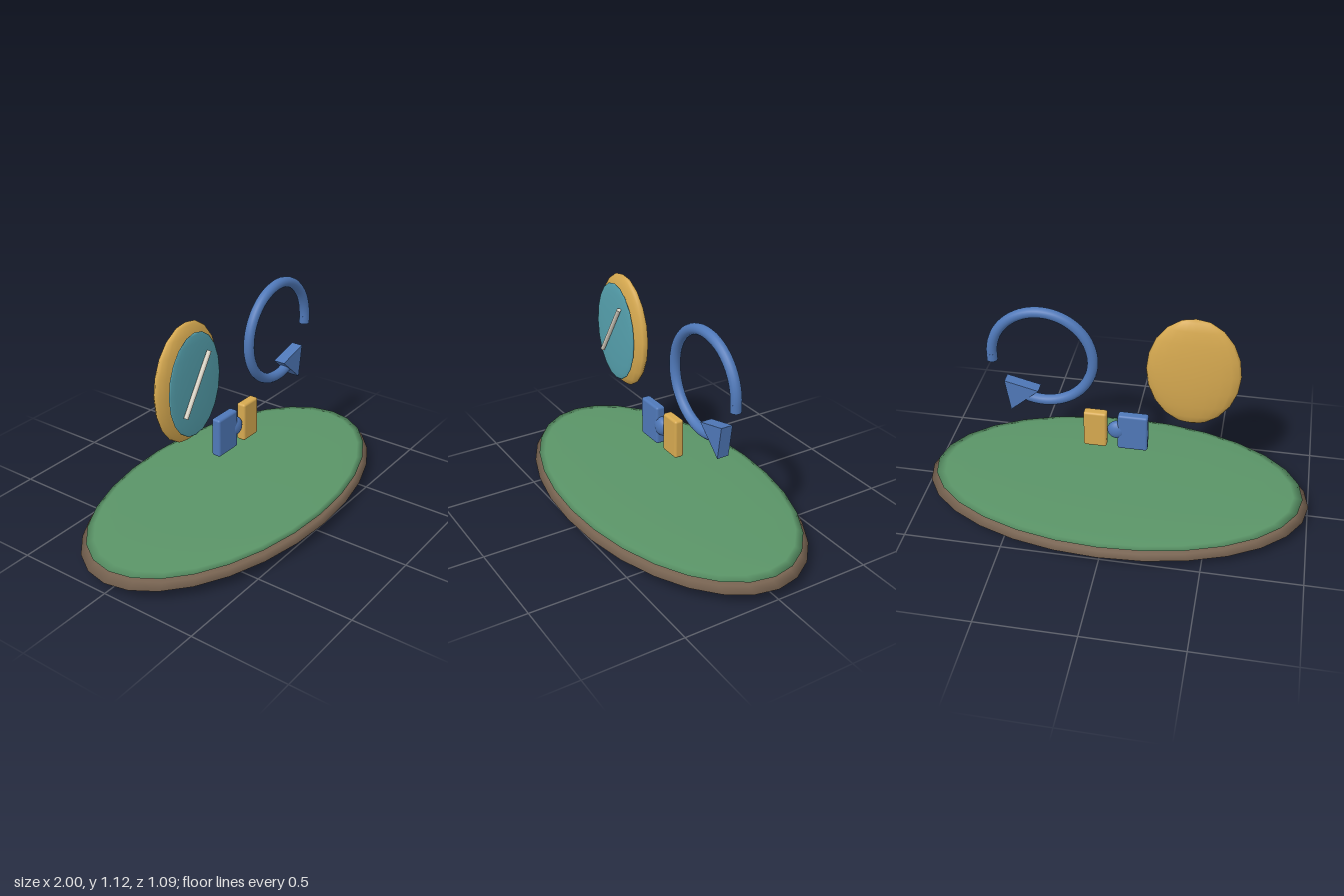
import * as THREE from 'three';
import { RoundedBoxGeometry } from 'three/addons/geometries/RoundedBoxGeometry.js';

const mat = (color) => new THREE.MeshStandardMaterial({ color });
const brown = mat(0x766250), green = mat(0x5a9467), gold = mat(0xd6a950);
const blue = mat(0x4f78b8), teal = mat(0x55a0ad), ivory = mat(0xd8d2c4);

export function createModel() {
  const model = new THREE.Group();
  const add = (name, geometry, material, x, y, z = 0, parent = model) => {
    const mesh = new THREE.Mesh(geometry, material);
    mesh.name = name;
    mesh.position.set(x, y, z);
    parent.add(mesh);
    return mesh;
  };
  const ellipsoid = (rx, ry, rz, around = 20, rings = 10) =>
    new THREE.SphereGeometry(1, around, rings).scale(rx, ry, rz);

  // Island: flattened earth with a thin grass layer on top
  add('islandBase', ellipsoid(1, 0.057, 0.547, 28, 10), brown, 0, 0.057);
  add('grassTop', ellipsoid(0.967, 0.018, 0.525, 28, 10), green, 0, 0.104);

  // Dial: gold body, teal face, slanted needle
  const dial = new THREE.Group();
  dial.name = 'dial';
  dial.position.set(-0.375, 0.82, 0);
  model.add(dial);
  add('dialBody', ellipsoid(0.23, 0.3, 0.05), gold, 0, 0, 0, dial);
  add('dialFace', ellipsoid(0.188, 0.26, 0.014), teal, 0, 0, 0.048, dial);
  const needle = add('dialNeedle', new THREE.CylinderGeometry(0.011, 0.011, 0.33, 12), ivory, -0.01, 0.011, 0.071, dial);
  needle.rotation.z = -0.575;

  // Circular arrow: ring, straight tail, triangular head
  const arrow = new THREE.Group();
  arrow.name = 'circularArrow';
  arrow.position.set(0.37, 0.823, 0);
  model.add(arrow);
  add('arrowRing', new THREE.TorusGeometry(0.253, 0.027, 14, 56, 5.08), blue, 0, 0, 0, arrow);
  add('arrowTail', new THREE.CylinderGeometry(0.027, 0.027, 0.042, 14), blue, 0.253, -0.02, 0, arrow);
  const head = new THREE.Shape([[0.191, -0.144], [0.02, -0.187], [0.165, -0.315]]
    .map(([x, y]) => new THREE.Vector2(x, y)));
  add('arrowHead', new THREE.ExtrudeGeometry(head, { depth: 0.062, bevelEnabled: false }), blue, 0, 0, -0.031, arrow);

  // Joint: two blocks with a ball between them
  add('leftBlock', new RoundedBoxGeometry(0.118, 0.205, 0.05, 3, 0.012), gold, 0.107, 0.428);
  add('rightBlock', new RoundedBoxGeometry(0.153, 0.205, 0.05, 3, 0.012), blue, -0.085, 0.428);
  add('jointBall', ellipsoid(0.05, 0.05, 0.032, 20, 12), blue, -0.003, 0.428);

  return model;
}
